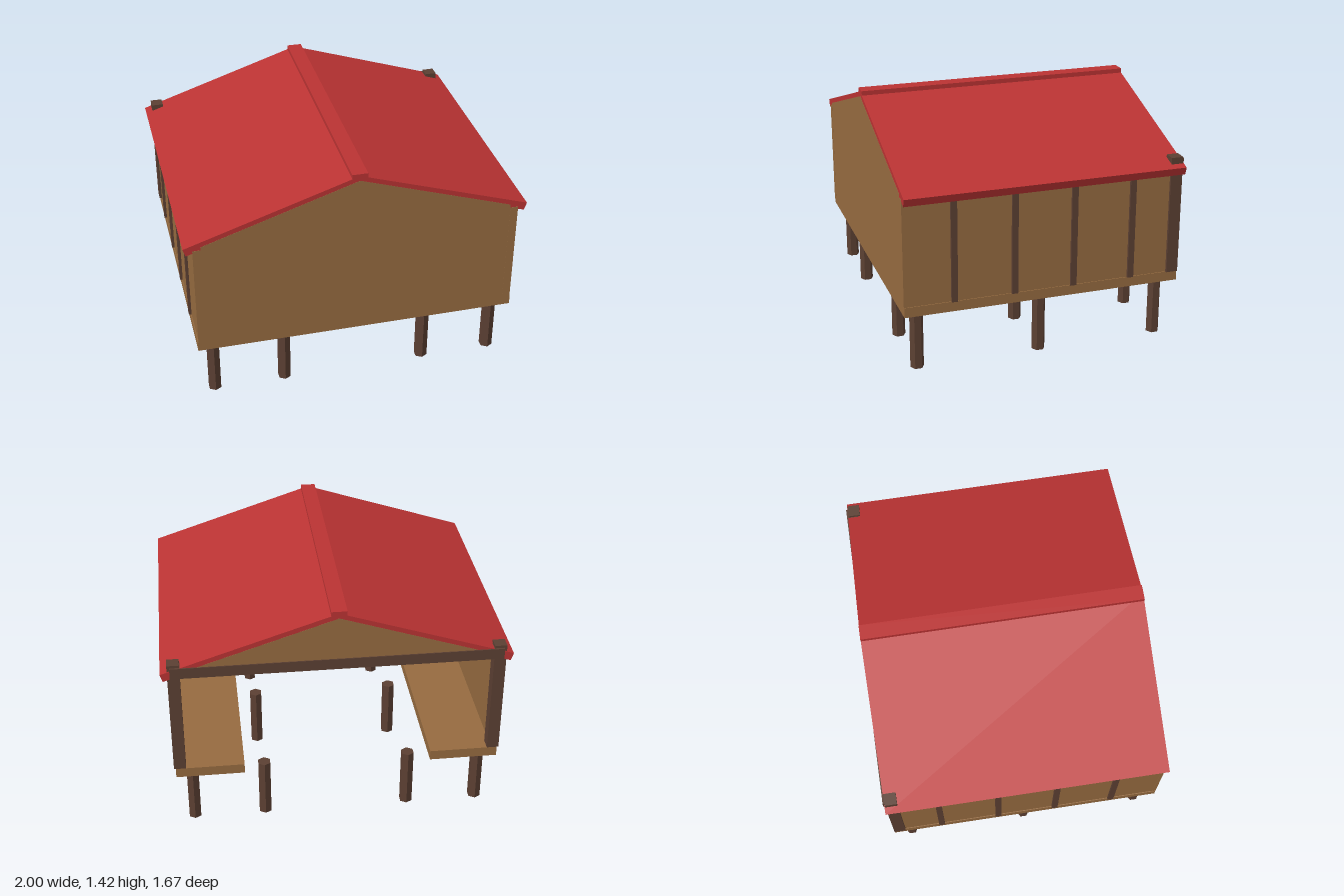
import * as THREE from 'three';

const material = (color) => new THREE.MeshStandardMaterial({ color, flatShading: true });

export function createModel() {
  const model = new THREE.Group();
  const wood = material(0x966b40);
  const darkWood = material(0x5c4033);
  const red = material(0xbb3333);

  const add = (name, geometry, mat) => {
    const mesh = new THREE.Mesh(geometry, mat);
    mesh.name = name;
    model.add(mesh);
    return mesh;
  };
  // Box given by its minimum and maximum corners
  const box = (name, mat, x0, x1, y0, y1, z0, z1) => {
    const mesh = add(name, new THREE.BoxGeometry(x1 - x0, y1 - y0, z1 - z0), mat);
    mesh.position.set((x0 + x1) / 2, (y0 + y1) / 2, (z0 + z1) / 2);
    return mesh;
  };
  // Outline in x and y, extruded from z0 to z1
  const slab = (name, mat, points, z0, z1) => {
    const shape = new THREE.Shape(points.map(([x, y]) => new THREE.Vector2(x, y)));
    const geometry = new THREE.ExtrudeGeometry(shape, { depth: z1 - z0, bevelEnabled: false });
    return add(name, geometry.translate(0, 0, z0), mat);
  };

  // Hexagonal piles in three rows of four
  for (const z of [0.74, 0.005, -0.73]) {
    for (const x of [-0.855, -0.43, 0.43, 0.855]) {
      add('pile', new THREE.CylinderGeometry(0.04, 0.04, 0.36, 6), darkWood).position.set(x, 0.18, z);
    }
  }

  // U-shaped deck, open to the back
  const deck = slab('deck', wood, [
    [-0.95, -0.83], [0.95, -0.83], [0.95, 0.825], [0.55, 0.825],
    [0.55, -0.5], [-0.55, -0.5], [-0.55, 0.825], [-0.95, 0.825],
  ], 0, 0.06);
  deck.rotation.x = -Math.PI / 2;
  deck.position.y = 0.36;

  // Front wall with its gable, and the smaller gable over the opening
  slab('frontWall', wood, [
    [-0.9, 0.42], [0.9, 0.42], [0.9, 1.08], [0, 1.375], [-0.9, 1.08],
  ], 0.8, 0.831);
  slab('backGable', wood, [[-0.9, 1.08], [0.9, 1.08], [0, 1.375]], -0.831, -0.805);

  // Side walls, corner boards, battens and back posts
  for (const side of [-1, 1]) {
    const sideBox = (name, mat, inner, outer, ...rest) =>
      box(name, mat, Math.min(side * inner, side * outer), Math.max(side * inner, side * outer), ...rest);
    sideBox('sideWall', wood, 0.915, 0.945, 0.42, 1.065, -0.8, 0.812);
    sideBox('cornerBoard', wood, 0.9, 0.947, 0.42, 1.06, 0.812, 0.832);
    for (const z of [0.54, 0.185, -0.17, -0.525]) {
      sideBox('batten', darkWood, 0.94, 0.96, 0.42, 1.06, z - 0.018, z + 0.018);
    }
    sideBox('backPost', darkWood, 0.89, 0.96, 0.42, 1.13, -0.825, -0.755);
  }

  // Beam across the boat opening
  box('backBeam', darkWood, -0.945, 0.945, 1.05, 1.115, -0.837, -0.767);

  // Pitched roof with square-cut eaves, and ridge cap
  slab('roof', red, [
    [0, 1.405], [-1, 1.078], [-0.985, 1.032], [0, 1.355], [0.985, 1.032], [1, 1.078],
  ], -0.83, 0.83);
  box('ridgeCap', red, -0.045, 0.045, 1.388, 1.417, -0.83, 0.83);

  return model;
}
